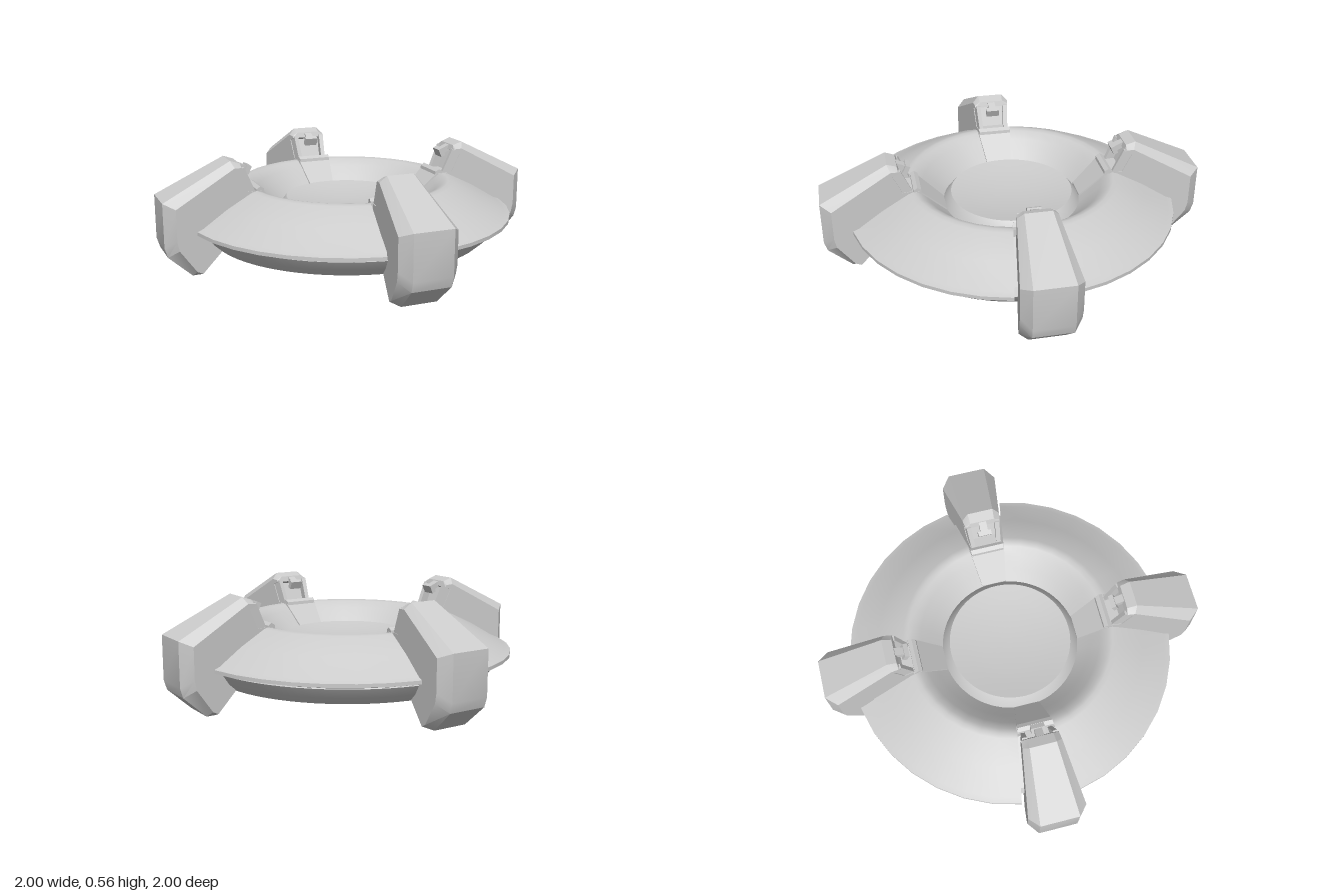
import * as THREE from 'three';
import { toCreasedNormals } from 'three/addons/utils/BufferGeometryUtils.js';

const material = new THREE.MeshStandardMaterial({ color: 0xcccccc, side: THREE.DoubleSide });

function mesh(geometry, name) {
  const m = new THREE.Mesh(geometry, material);
  m.name = name;
  return m;
}

// Revolved part with sharp edges kept; phi limits give a sector.
function turned(points, segments, name, start = 0, length = Math.PI * 2) {
  const pts = points.map(([r, y]) => new THREE.Vector2(r, y));
  return mesh(toCreasedNormals(new THREE.LatheGeometry(pts, segments, start, length), 0.6), name);
}

// Prism along +x whose half width grows with radius.
// Each point is [r, y] or [r, y, insetR, insetY] for a chamfered edge.
function wedge(profile, taper, name, capScale = 0.68) {
  const loops = [[], [], [], []];
  for (const [r, y, ir = r, iy = y] of profile) {
    const chamfered = ir !== r || iy !== y;
    const w = taper * ir;
    const c = chamfered ? w * capScale : w;
    loops[0].push([ir, iy, w]);
    loops[1].push([r, y, c]);
    loops[2].push([r, y, -c]);
    loops[3].push([ir, iy, -w]);
  }
  const pos = [];
  const tri = (a, b, c) => pos.push(...a, ...b, ...c);
  const n = profile.length;
  for (let k = 0; k < 3; k++) {
    for (let i = 0; i < n; i++) {
      const j = (i + 1) % n;
      tri(loops[k][i], loops[k + 1][i], loops[k + 1][j]);
      tri(loops[k][i], loops[k + 1][j], loops[k][j]);
    }
  }
  const flat = loops[0].map(([x, y]) => new THREE.Vector2(x, y));
  for (const [a, b, c] of THREE.ShapeUtils.triangulateShape(flat, [])) {
    tri(loops[0][a], loops[0][b], loops[0][c]);
    tri(loops[3][a], loops[3][c], loops[3][b]);
  }
  const g = new THREE.BufferGeometry();
  g.setAttribute('position', new THREE.Float32BufferAttribute(pos, 3));
  return mesh(toCreasedNormals(g, 0.35), name);
}

function createArm() {
  const arm = new THREE.Group();
  arm.name = 'arm';

  // Bent leg with chamfered outer edges and an undercut at the head
  arm.add(wedge([
    [0.53, 0.28],
    [0.71, 0.12],
    [0.82, 0, 0.82, 0.015],
    [0.865, 0, 0.85, 0.03],
    [0.985, 0.11, 0.935, 0.15],
    [1.0, 0.16, 0.945, 0.2],
    [1.0, 0.385, 0.945, 0.36],
    [0.65, 0.56, 0.635, 0.528],
    [0.6, 0.543, 0.598, 0.525],
    [0.59, 0.515],
    [0.625, 0.5],
    [0.58, 0.4],
    [0.53, 0.4],
  ], 0.157, 'leg'));

  // Cheeks either side of the head recess
  for (const s of [-1, 1]) {
    const cheek = wedge([[0.53, 0.39], [0.6, 0.39], [0.64, 0.515], [0.59, 0.525]], 0.02, 'cheek');
    cheek.rotation.y = -s * 0.13;
    arm.add(cheek);
  }

  // Latch in the recess
  const latch = new THREE.Group();
  latch.name = 'latch';
  const stem = mesh(new THREE.BoxGeometry(0.06, 0.03, 0.04), 'latchStem');
  stem.position.x = 0.035;
  latch.add(stem, mesh(new THREE.BoxGeometry(0.025, 0.045, 0.07), 'latchHead'));
  latch.position.set(0.55, 0.5, 0);
  latch.rotation.z = 0.42;
  arm.add(latch);

  // Ramp leading down to the central dish, with a raised lip
  arm.add(wedge([[0.355, 0.2], [0.53, 0.2], [0.53, 0.4], [0.49, 0.4], [0.355, 0.27]], 0.185, 'ramp'));
  arm.add(wedge([[0.48, 0.37], [0.53, 0.37], [0.525, 0.41], [0.505, 0.422], [0.485, 0.41]], 0.18, 'rampLip'));
  return arm;
}

export function createModel() {
  const model = new THREE.Group();
  model.name = 'disc';

  // Underside and core that shows through the narrow slits
  model.add(turned([
    [0, 0.11], [0.72, 0.11], [0.765, 0.15], [0.8, 0.2], [0.78, 0.24], [0.54, 0.36], [0.48, 0.34], [0.34, 0.24],
  ], 72, 'body'));

  // Four sectors of the raised ring with its thin rim
  for (let i = 0; i < 4; i++) {
    const start = THREE.MathUtils.degToRad(i * 90 + 10.2);
    model.add(turned([
      [0.78, 0.2], [0.8, 0.205], [0.86, 0.222], [0.86, 0.24], [0.83, 0.25], [0.7, 0.328], [0.56, 0.396],
      [0.535, 0.402], [0.51, 0.396], [0.47, 0.365], [0.42, 0.315], [0.34, 0.24],
    ], 7, 'ringSector', start, THREE.MathUtils.degToRad(69.6)));
  }

  // Central pedestal with a shallow concave dish
  model.add(turned([
    [0.365, 0.24], [0.36, 0.26], [0.32, 0.31], [0.24, 0.295], [0.16, 0.285], [0.08, 0.279], [0, 0.277],
  ], 64, 'dish'));

  for (let i = 0; i < 4; i++) {
    const arm = createArm();
    arm.rotation.y = i * Math.PI / 2;
    model.add(arm);
  }
  return model;
}
